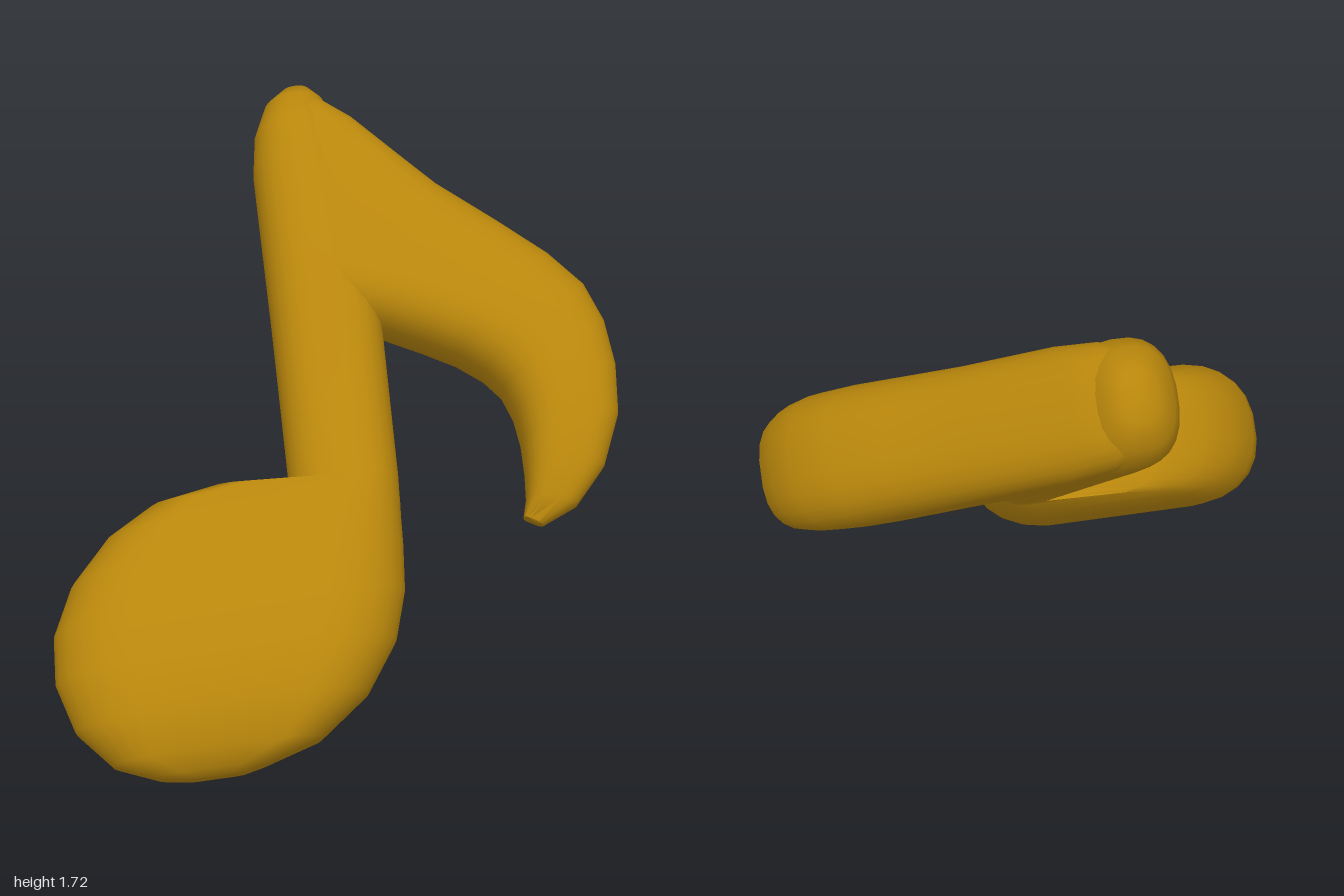
import * as THREE from 'three';
import { toCreasedNormals } from 'three/addons/utils/BufferGeometryUtils.js';

const SIDES = 24;

// Loft of flat sections with rounded edges. Station: [leftU, leftV, rightU, rightV, halfThickness]
function loft(stations, power) {
  const pos = [], idx = [];
  const soft = (t) => Math.sign(t) * Math.pow(Math.abs(t), 2 / power);
  for (const [lu, lv, ru, rv, h] of stations) {
    const half = Math.hypot(ru - lu, rv - lv) / 2;
    const edge = Math.min(half, Math.max(0.88 * h, 2 * h - 0.21));
    for (let j = 0; j < SIDES; j++) {
      const a = ((j + 0.5) / SIDES) * Math.PI * 2;
      const c = Math.cos(a);
      const t = (Math.sign(c) * (half - edge) + edge * soft(c)) / half / 2;
      pos.push((lu + ru) / 2 + (ru - lu) * t, (lv + rv) / 2 + (rv - lv) * t, h * soft(Math.sin(a)));
    }
  }
  for (let i = 0; i < stations.length - 1; i++) {
    for (let j = 0; j < SIDES; j++) {
      const a = i * SIDES + j, b = i * SIDES + ((j + 1) % SIDES);
      idx.push(a, a + SIDES, b, b, a + SIDES, b + SIDES);
    }
  }
  // end caps
  [0, stations.length - 1].forEach((i, end) => {
    const [lu, lv, ru, rv] = stations[i];
    const centre = pos.length / 3;
    pos.push((lu + ru) / 2, (lv + rv) / 2, 0);
    for (let j = 0; j < SIDES; j++) {
      const a = i * SIDES + j, b = i * SIDES + ((j + 1) % SIDES);
      if (end) idx.push(centre, b, a);
      else idx.push(centre, a, b);
    }
  });
  const g = new THREE.BufferGeometry();
  g.setAttribute('position', new THREE.Float32BufferAttribute(pos, 3));
  g.setIndex(idx);
  return g;
}

export function createModel() {
  const gold = new THREE.MeshStandardMaterial({ color: 0xb8860b });
  gold.name = 'gold';

  // the whole note leans back and sideways
  const lean = new THREE.Matrix4().makeBasis(
    new THREE.Vector3(0.944, 0.076, 0.323),
    new THREE.Vector3(0.192, 0.669, -0.718),
    new THREE.Vector3(-0.27, 0.74, 0.617),
  ).setPosition(-0.443, 0.425, 0.367);

  const group = new THREE.Group();
  group.name = 'musicNote';
  const addPart = (name, stations, power) => {
    const geometry = loft(stations, power).applyMatrix4(lean);
    const mesh = new THREE.Mesh(toCreasedNormals(geometry, 1.0), gold);
    mesh.name = name;
    group.add(mesh);
  };

  // oval head running into the straight stem, with a notch on the left where the stem starts
  addPart('headAndStem', [
    [-0.19, -0.49, 0.01, -0.49, 0.06],
    [-0.27, -0.475, 0.07, -0.475, 0.11],
    [-0.4, -0.42, 0.25, -0.42, 0.168],
    [-0.505, -0.3, 0.415, -0.3, 0.23],
    [-0.55, -0.15, 0.525, -0.15, 0.26],
    [-0.54, 0, 0.575, 0, 0.26],
    [-0.47, 0.15, 0.593, 0.15, 0.247],
    [-0.345, 0.285, 0.6, 0.24, 0.225],
    [-0.2, 0.37, 0.605, 0.29, 0.209],
    [-0.03, 0.4, 0.608, 0.33, 0.197],
    [0.258, 0.36, 0.612, 0.37, 0.19],
    [0.277, 0.95, 0.642, 0.95, 0.19],
    [0.29, 1.5, 0.63, 1.5, 0.19],
    [0.31, 1.62, 0.6, 1.62, 0.183],
    [0.355, 1.72, 0.565, 1.72, 0.145],
    [0.42, 1.78, 0.525, 1.78, 0.075],
  ], 2.4);

  // flag curling down from the stem top to a point
  addPart('flag', [
    [0.45, 1.76, 0.335, 1.12, 0.15],
    [0.54, 1.725, 0.41, 1.0, 0.182],
    [0.64, 1.64, 0.51, 0.93, 0.194],
    [0.89, 1.36, 0.65, 0.875, 0.2],
    [1.07, 1.2, 0.765, 0.815, 0.207],
    [1.22, 1.06, 0.87, 0.755, 0.213],
    [1.32, 0.935, 0.95, 0.69, 0.213],
    [1.365, 0.8, 1.0, 0.625, 0.205],
    [1.375, 0.645, 1.025, 0.545, 0.192],
    [1.355, 0.485, 1.033, 0.45, 0.168],
    [1.28, 0.322, 1.027, 0.345, 0.132],
    [1.175, 0.212, 1.015, 0.255, 0.086],
    [1.055, 0.16, 0.995, 0.195, 0.03],
  ], 2.7);

  return group;
}
